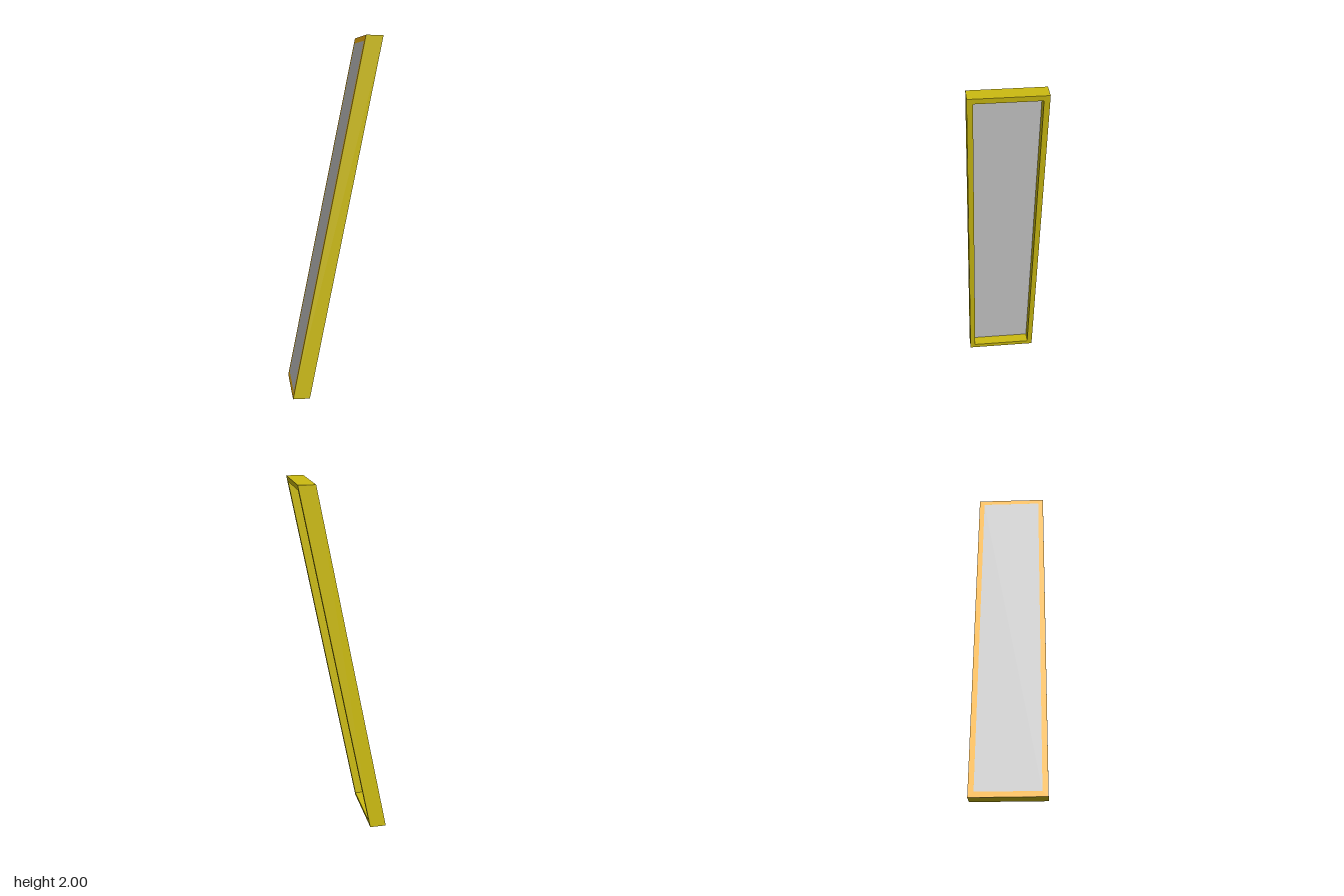
import * as THREE from 'three';

const HEIGHT = 2, HALF_Z = 0.2, BORDER = 0.03, HALF_X = 0.047;
const PANEL_INNER_X = -0.018;
const LEAN = 0.2;

// Slides every level sideways in proportion to its height
const shear = new THREE.Matrix4().set(
  1, LEAN, 0, -LEAN * HEIGHT / 2,
  0, 1, 0, 0,
  0, 0, 1, 0,
  0, 0, 0, 1
);

// Upright rectangle, inset evenly from the outer outline
function rectangle(inset, Type = THREE.Shape) {
  const w = HALF_Z - inset, lo = inset, hi = HEIGHT - inset;
  return new Type([[-w, lo], [w, lo], [w, hi], [-w, hi]].map(([x, y]) => new THREE.Vector2(x, y)));
}

function ringShape() {
  const shape = rectangle(0);
  shape.holes.push(rectangle(BORDER, THREE.Path));
  return shape;
}

// Extrudes a shape along x from x0 to x1, then leans it
function slab(shape, x0, x1) {
  return new THREE.ExtrudeGeometry(shape, { depth: x1 - x0, bevelEnabled: false })
    .rotateY(Math.PI / 2).translate(x0, 0, 0).applyMatrix4(shear);
}

export function createModel() {
  const group = new THREE.Group();
  group.name = 'leaningPanel';

  const add = (name, geometry, color) => {
    const mesh = new THREE.Mesh(geometry, new THREE.MeshStandardMaterial({ color }));
    mesh.name = name;
    group.add(mesh);
  };

  // Deep rectangular frame, open towards +x
  add('frame', slab(ringShape(), -HALF_X, HALF_X), 0xccbb11);

  // Panel closing the frame, flush with its -x side
  add('panel', slab(rectangle(BORDER), -HALF_X, PANEL_INNER_X), 0xcccccc);

  // Orange border face on the -x side
  const trim = new THREE.ShapeGeometry(ringShape())
    .rotateY(-Math.PI / 2).translate(-HALF_X - 0.0006, 0, 0).applyMatrix4(shear);
  add('backTrim', trim, 0xffbb11);

  return group;
}
